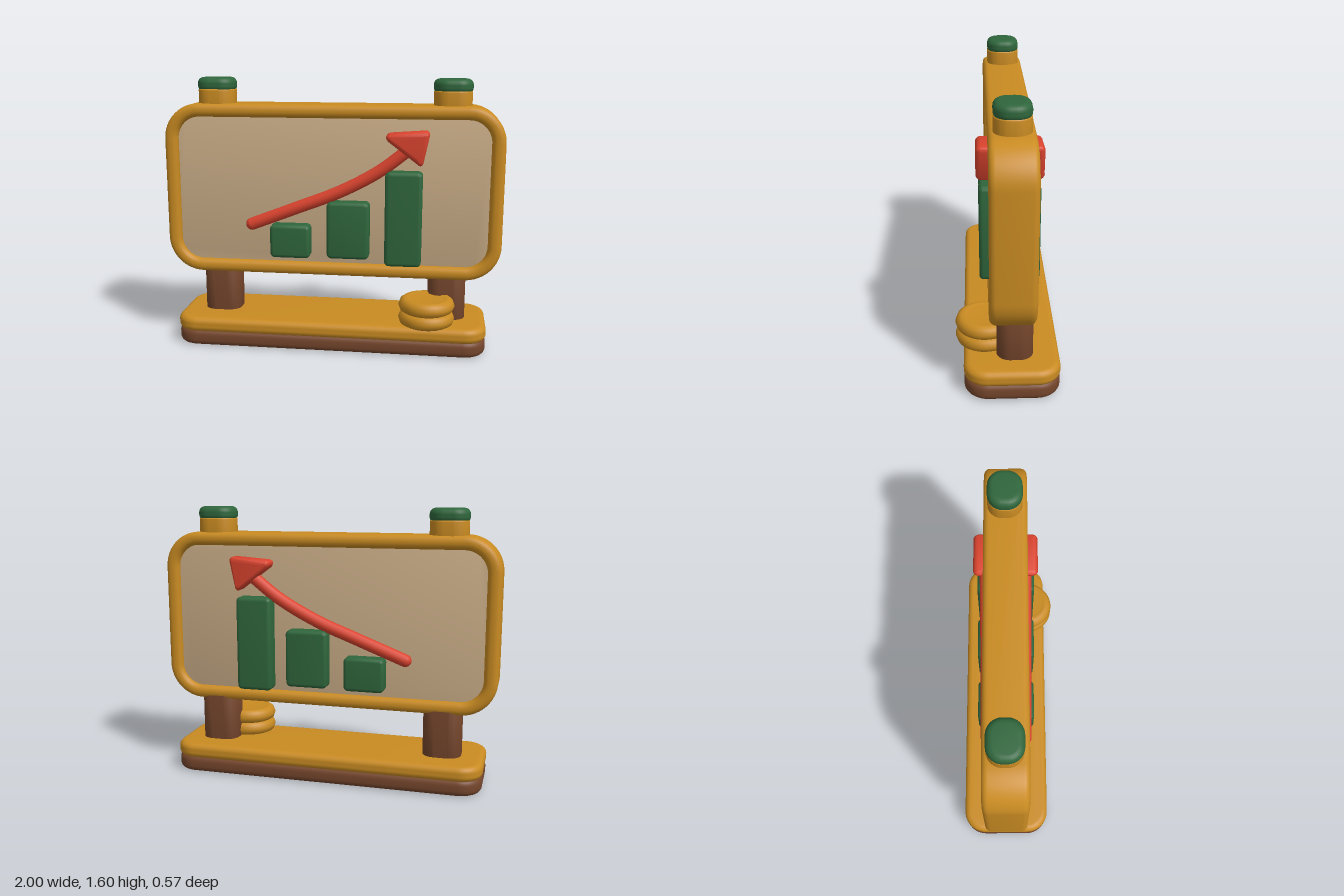
import * as THREE from 'three';
import { mergeVertices, toCreasedNormals } from 'three/addons/utils/BufferGeometryUtils.js';

const mat = (name, color) => new THREE.MeshStandardMaterial({ name, color });

// Rounded rectangle outline centred on the origin
function roundRect(w, h, r, Type = THREE.Shape) {
  const s = new Type(), x = w / 2, y = h / 2;
  s.absarc(x - r, y - r, r, 0, Math.PI / 2);
  s.absarc(-x + r, y - r, r, Math.PI / 2, Math.PI);
  s.absarc(-x + r, -y + r, r, Math.PI, Math.PI * 1.5);
  s.absarc(x - r, -y + r, r, Math.PI * 1.5, Math.PI * 2);
  s.closePath();
  return s;
}

// Soft-edged slab of the shape, centred in z, with overall thickness d
function slab(shape, d, bevel, crease = 0.7) {
  let g = new THREE.ExtrudeGeometry(shape, {
    depth: d - 2 * bevel, curveSegments: 8, bevelEnabled: true,
    bevelThickness: bevel, bevelSize: bevel, bevelOffset: -bevel, bevelSegments: 5,
  });
  g.translate(0, 0, bevel - d / 2);
  g.deleteAttribute('uv');
  g.deleteAttribute('normal');
  g = mergeVertices(g, 1e-4);
  return toCreasedNormals(g, crease);
}

// Upright rounded block: footprint w by d, from y0 to y1
function block(w, d, r, y0, y1, bevel) {
  return slab(roundRect(w, d, r), y1 - y0, bevel).rotateX(-Math.PI / 2).translate(0, (y0 + y1) / 2, 0);
}

export function createModel() {
  const root = new THREE.Group();
  root.name = 'chartBillboard';
  const gold = mat('gold', 0xc98b22), green = mat('green', 0x2f663c), red = mat('red', 0xda432e);
  const cream = mat('cream', 0xcbae88), brown = mat('brown', 0x75462c);

  const add = (name, geo, material, x = 0, y = 0, z = 0, parent = root) => {
    const m = new THREE.Mesh(geo, material);
    m.name = name;
    m.position.set(x, y, z);
    parent.add(m);
    return m;
  };
  const midZ = -0.0225;

  // Two-layer base
  add('baseBottom', block(1.86, 0.52, 0.13, 0, 0.1, 0.035), brown, -0.005, 0, -0.025);
  add('baseTop', block(1.865, 0.525, 0.13, 0.085, 0.175, 0.035), gold, -0.005, 0, -0.025);

  // Posts, collars and caps
  for (const side of [-1, 1]) {
    const label = side > 0 ? 'left' : 'right';
    add(label + 'Post', block(0.225, 0.2, 0.075, 0.14, 0.47, 0.01), brown, side * 0.69, 0, -0.042);
    add(label + 'Collar', block(0.22, 0.195, 0.085, 1.4, 1.535, 0.01), gold, side * 0.695, 0, -0.025);
    add(label + 'Cap', block(0.226, 0.195, 0.085, 1.515, 1.6, 0.035), green, side * 0.695, 0, -0.025);
  }

  // Frame with a recessed panel
  const frame = roundRect(2, 1.02, 0.21);
  frame.holes.push(roundRect(1.84, 0.865, 0.13, THREE.Path));
  add('frame', slab(frame, 0.245, 0.034), gold, 0, 0.94, midZ);
  add('panel', slab(roundRect(1.9, 0.93, 0.15), 0.17, 0.005), cream, 0, 0.94, midZ);

  // Chart on both faces: [centre x, width, bottom, top]
  const bars = [[-0.24, 0.24, 0.545, 0.745], [0.105, 0.25, 0.55, 0.89], [0.428, 0.215, 0.515, 1.075]];
  const curve = new THREE.CatmullRomCurve3(
    [[-0.475, 0.738], [-0.2, 0.845], [0.05, 0.945], [0.28, 1.07], [0.45, 1.2]]
      .map(([x, y]) => new THREE.Vector3(x, y, 0)));
  const head = new THREE.Shape();
  head.moveTo(0.55, 1.312);
  head.quadraticCurveTo(0.572, 1.308, 0.568, 1.28);
  head.lineTo(0.537, 1.13);
  head.quadraticCurveTo(0.525, 1.1, 0.5, 1.125);
  head.lineTo(0.335, 1.25);
  head.quadraticCurveTo(0.305, 1.285, 0.345, 1.297);
  head.closePath();

  for (const side of [1, -1]) {
    const chart = new THREE.Group();
    chart.name = side > 0 ? 'frontChart' : 'backChart';
    chart.position.z = midZ;
    root.add(chart);
    bars.forEach(([x, w, y0, y1], i) => {
      add('bar' + (i + 1), slab(roundRect(w, y1 - y0, 0.028), 0.12, 0.022), green,
        x, (y0 + y1) / 2, side * 0.107, chart);
    });
    add('arrowShaft', new THREE.TubeGeometry(curve, 32, 0.037, 14), red, 0, 0, side * 0.113, chart);
    add('arrowTail', new THREE.SphereGeometry(0.037, 14, 10), red, -0.475, 0.738, side * 0.113, chart);
    add('arrowHead', slab(head, 0.12, 0.03), red, 0, 0, side * 0.122, chart);
  }

  // Stack of two coins with a shallow dish on top
  const profile = [[0, 0], [0.135, 0], [0.155, 0.012], [0.165, 0.04], [0.155, 0.068], [0.135, 0.082],
    [0.11, 0.082], [0.1, 0.075], [0, 0.075]].map(([x, y]) => new THREE.Vector2(x, y));
  for (let i = 0; i < 2; i++) {
    add('coin' + (i + 1), new THREE.LatheGeometry(profile, 36), gold, 0.575, 0.17 + i * 0.078, 0.118);
  }
  return root;
}
